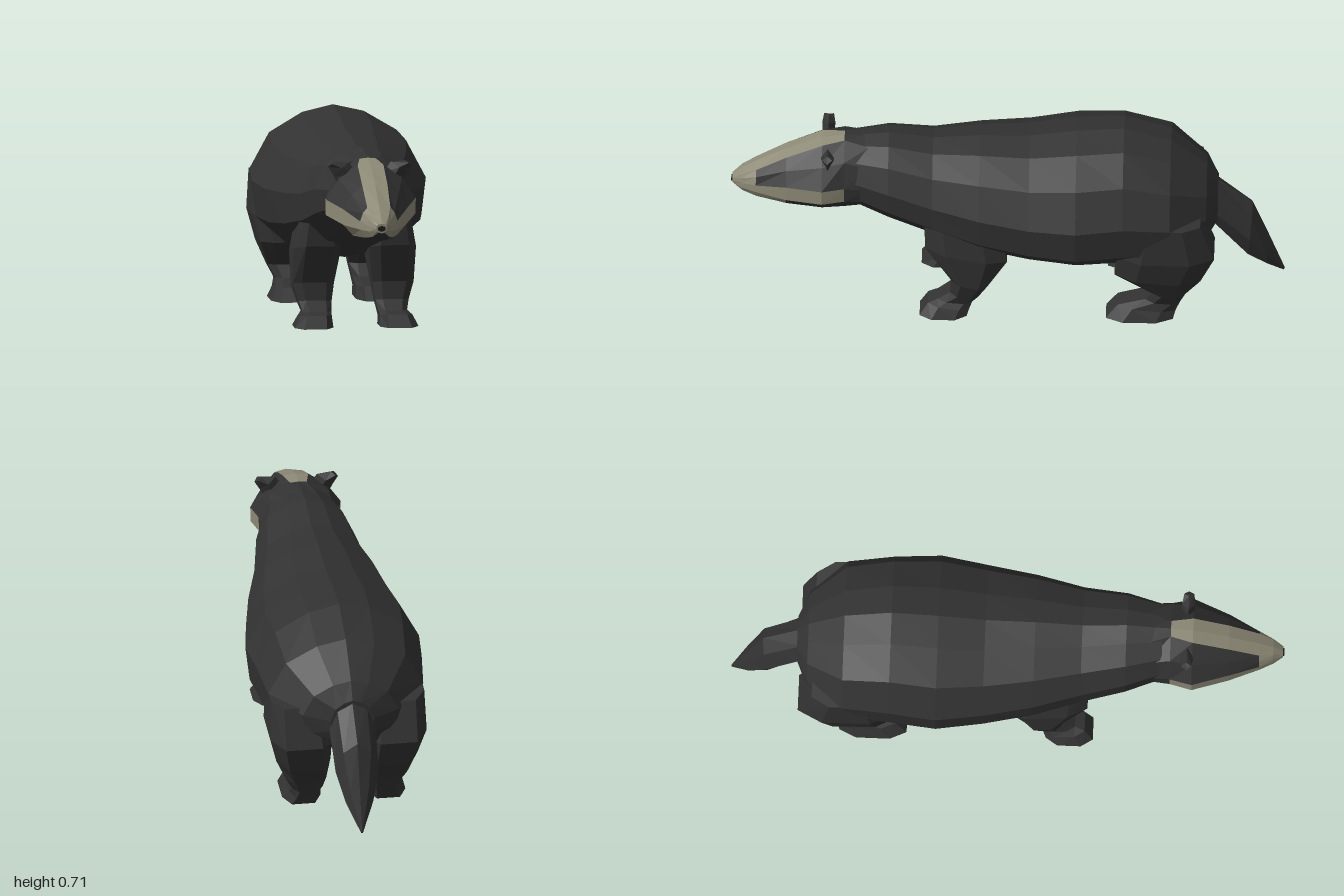
import * as THREE from 'three';

const mat = (name, color) => {
  const m = new THREE.MeshStandardMaterial({ color, flatShading: true });
  m.name = name;
  return m;
};

// Skin closed rings of [x, y, z] points and cap both ends; colourAt(ring, side) picks a material index.
function loft(name, rings, materials, colourAt = () => 0) {
  const buckets = materials.map(() => []);
  const tri = (k, a, b, c) => buckets[k].push([a, b, c]);
  const n = rings[0].length;
  for (let i = 0; i < rings.length - 1; i++) {
    for (let j = 0; j < n; j++) {
      const k = colourAt(i, j), j2 = (j + 1) % n;
      const a = rings[i][j], b = rings[i][j2], c = rings[i + 1][j2], d = rings[i + 1][j];
      tri(k, a, b, c);
      tri(k, a, c, d);
    }
  }
  const cap = (ring, k, flip) => {
    const mid = [0, 1, 2].map(q => ring.reduce((s, p) => s + p[q], 0) / n);
    ring.forEach((p, j) => {
      const r = ring[(j + 1) % n];
      flip ? tri(k, mid, r, p) : tri(k, mid, p, r);
    });
  };
  cap(rings[0], colourAt(0, -1), true);
  cap(rings[rings.length - 1], colourAt(rings.length - 2, -1), false);

  // Turn every face outward by the sign of the enclosed volume.
  const v = p => new THREE.Vector3(...p);
  let volume = 0;
  buckets.flat().forEach(([a, b, c]) => { volume += v(a).dot(v(b).cross(v(c))); });
  const pos = [], geo = new THREE.BufferGeometry();
  buckets.forEach((list, k) => {
    geo.addGroup(pos.length / 3, list.length * 3, k);
    list.forEach(([a, b, c]) => pos.push(...(volume < 0 ? [...a, ...c, ...b] : [...a, ...b, ...c])));
  });
  geo.setAttribute('position', new THREE.Float32BufferAttribute(pos, 3));
  geo.computeVertexNormals();
  const mesh = new THREE.Mesh(geo, materials);
  mesh.name = name;
  return mesh;
}

// Full ring from a half outline running from top centre to bottom centre.
const mirrorRing = (half, z) => [
  ...half.map(([x, y]) => [x, y, z]),
  ...half.slice(1, -1).reverse().map(([x, y]) => [-x, y, z]),
];

// Eight-sided level ring of a leg; front and back edges may differ in height.
function legRing([x0, x1, zf, zb, yf, yb], side) {
  const cx = (x0 + x1) / 2, rx = (x1 - x0) / 2;
  return [[-0.6, 0], [0.6, 0], [1, 0.25], [1, 0.75], [0.6, 1], [-0.6, 1], [-1, 0.75], [-1, 0.25]]
    .map(([u, t]) => [side * (cx + u * rx), yf + (yb - yf) * t, zf + (zb - zf) * t]);
}

export function createModel() {
  const fur = mat('dark fur', 0x323232);
  const cream = mat('cream fur', 0x8f8b78);
  const black = mat('nose black', 0x1c1c1c);
  const g = new THREE.Group();
  g.name = 'badger';

  // Body: [z, half width, top, bottom]
  const section = [[0, 1], [0.37, 0.95], [0.77, 0.81], [1, 0.54], [0.95, 0.28], [0.55, 0.06], [0, 0]];
  const body = [
    [0.56, 0.135, 0.665, 0.405], [0.43, 0.178, 0.68, 0.35], [0.27, 0.208, 0.66, 0.29],
    [0.1, 0.255, 0.673, 0.235], [-0.08, 0.29, 0.675, 0.205], [-0.25, 0.317, 0.7, 0.19],
    [-0.42, 0.302, 0.713, 0.2], [-0.59, 0.283, 0.662, 0.22], [-0.72, 0.175, 0.56, 0.28],
    [-0.76, 0.08, 0.5, 0.33],
  ];
  g.add(loft('body', body.map(([z, w, t, b]) =>
    mirrorRing(section.map(([u, h]) => [u * w, b + h * (t - b)]), z)), [fur]));

  // Head: corners follow the borders of the stripe, eye band, cheek and chin
  const head = [
    [0.5, [[0, 0.67], [0.06, 0.655], [0.115, 0.6], [0.14, 0.52], [0.13, 0.46], [0.08, 0.415], [0, 0.4]]],
    [0.59, [[0, 0.665], [0.03, 0.662], [0.11, 0.62], [0.147, 0.53], [0.143, 0.47], [0.09, 0.41], [0, 0.395]]],
    [0.67, [[0, 0.655], [0.047, 0.65], [0.115, 0.6], [0.165, 0.528], [0.163, 0.47], [0.1, 0.41], [0, 0.393]]],
    [0.8, [[0, 0.6], [0.046, 0.592], [0.085, 0.56], [0.117, 0.51], [0.115, 0.452], [0.08, 0.412], [0, 0.398]]],
    [0.91, [[0, 0.542], [0.042, 0.53], [0.058, 0.51], [0.068, 0.48], [0.068, 0.45], [0.05, 0.42], [0, 0.41]]],
    [0.96, [[0, 0.512], [0.03, 0.505], [0.038, 0.49], [0.042, 0.47], [0.042, 0.45], [0.03, 0.43], [0, 0.425]]],
    [0.995, [[0, 0.482], [0.012, 0.48], [0.018, 0.475], [0.02, 0.465], [0.017, 0.455], [0.01, 0.45], [0, 0.447]]],
  ];
  const headColour = (ring, j) => {
    if (j < 0) return ring === 0 ? 0 : 1;
    const band = Math.min(j, 11 - j);
    if (ring === 0) return 0;
    if (band === 5) return 0;
    if (band === 4) return ring >= 3 ? 1 : 0;
    return band === 0 || band === 3 || ring >= 4 ? 1 : 0;
  };
  g.add(loft('head', head.map(([z, half]) => mirrorRing(half, z)), [fur, cream], headColour));

  // Nose
  const nose = new THREE.Mesh(new THREE.CylinderGeometry(0.014, 0.02, 0.016, 6), black);
  nose.name = 'nose';
  nose.rotation.x = Math.PI / 2;
  nose.scale.z = 0.7;
  nose.position.set(0, 0.464, 0.992);
  g.add(nose);

  // Legs: [inner x, outer x, front z, back z, front y, back y]
  const frontLeg = [
    [0.07, 0.19, 0.3, 0.04, 0.46, 0.46], [0.05, 0.222, 0.295, 0.0, 0.3, 0.24],
    [0.07, 0.22, 0.2, 0.07, 0.155, 0.13], [0.08, 0.2, 0.205, 0.105, 0.09, 0.07],
    [0.085, 0.19, 0.25, 0.125, 0.055, 0.045], [0.088, 0.205, 0.285, 0.135, 0.045, 0.025],
    [0.085, 0.225, 0.315, 0.145, 0, 0],
  ];
  const hindLeg = [
    [0.08, 0.28, -0.44, -0.7, 0.47, 0.45], [0.06, 0.285, -0.4, -0.75, 0.31, 0.305],
    [0.06, 0.258, -0.39, -0.7, 0.215, 0.19], [0.075, 0.22, -0.53, -0.645, 0.115, 0.11],
    [0.085, 0.195, -0.5, -0.625, 0.07, 0.06], [0.088, 0.205, -0.4, -0.61, 0.05, 0.03],
    [0.085, 0.225, -0.358, -0.6, 0, 0],
  ];
  for (const [side, label] of [[1, 'left'], [-1, 'right']]) {
    g.add(loft(label + 'FrontLeg', frontLeg.map(r => legRing(r, side)), [fur]));
    g.add(loft(label + 'HindLeg', hindLeg.map(r => legRing(r, side)), [fur]));

    // Ear: a thin upright flap leaning outward
    const ear = [[0.08, 0.6, 0.02], [0.105, 0.64, 0.024], [0.14, 0.655, 0.018]];
    g.add(loft(label + 'Ear', ear.map(([x, y, d], i) => {
      const h = [0.045, 0.042, 0.018][i];
      return [[-h, h * 0.6, 0], [0, 0, d], [h, -h * 0.9, 0], [0, 0, -d]]
        .map(([dx, dy, dz]) => [side * (x + dx * 0.7), y + dy * 0.7, 0.65 + dz]);
    }), [fur]));
  }

  // Tail: [half width, top y, top z, bottom y, bottom z]
  const tail = [
    [0.06, 0.54, -0.66, 0.32, -0.68], [0.085, 0.505, -0.74, 0.3, -0.75],
    [0.078, 0.39, -0.885, 0.155, -0.865], [0.05, 0.245, -0.94, 0.115, -0.935],
    [0.004, 0.092, -1, 0.082, -0.995],
  ];
  g.add(loft('tail', tail.map(([w, ty, tz, by, bz]) =>
    [[0, 0], [0.65, 0.15], [1, 0.5], [0.6, 0.87], [0, 1], [-0.6, 0.87], [-1, 0.5], [-0.65, 0.15]]
      .map(([u, t]) => [u * w, ty + (by - ty) * t, tz + (bz - tz) * t])), [fur]));
  return g;
}
